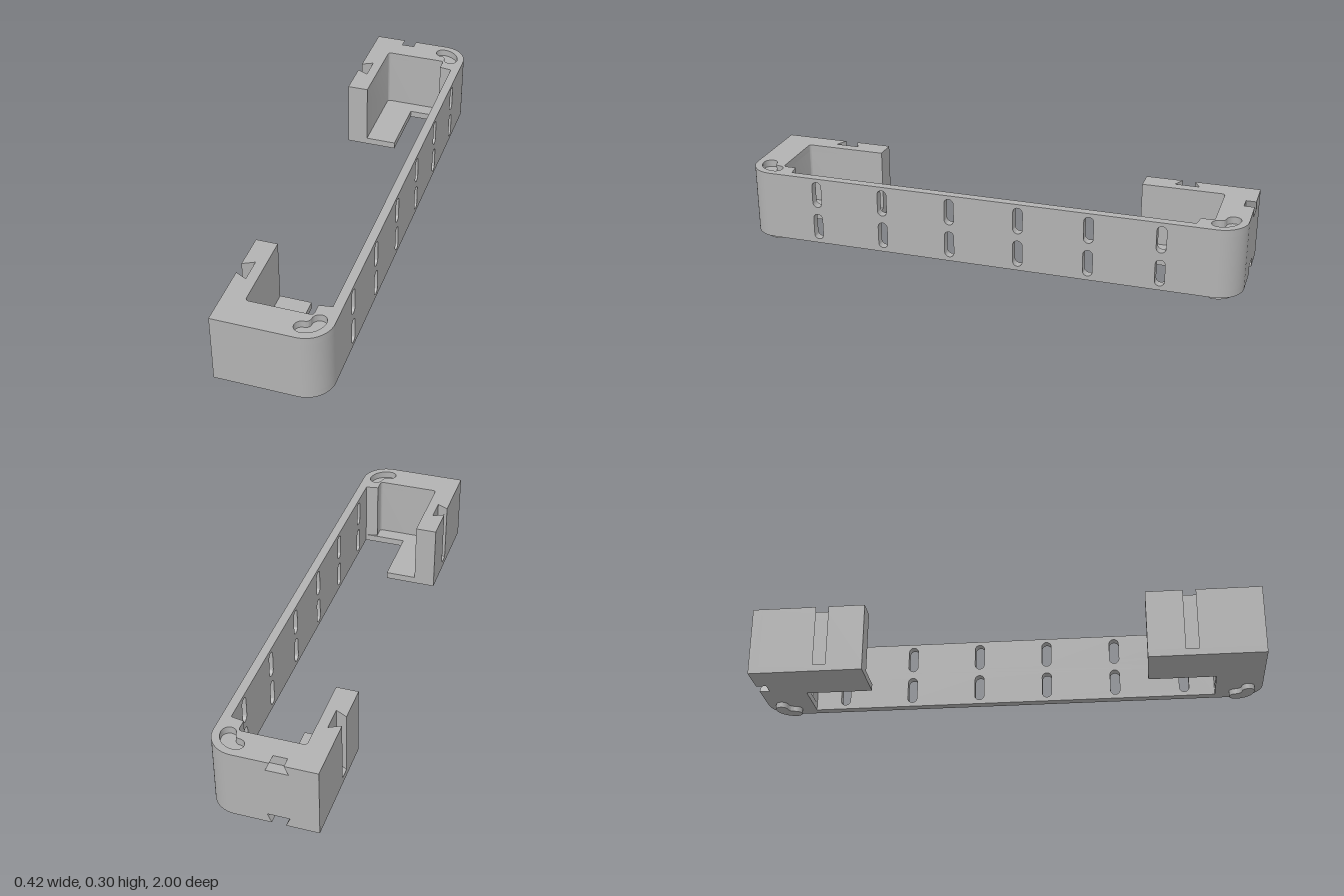
import * as THREE from 'three';
import { toCreasedNormals } from 'three/addons/utils/BufferGeometryUtils.js';

const BASE = 0.022, FLOOR = 0.05, RECESS = 0.272, TOP = 0.3;
const X = 0.21, INNER = 0.175, R = 0.105, JOIN = 0.815;

// points along an arc, angles in degrees
function arc(cx, cy, r, a0, a1, n = 16) {
  return Array.from({ length: n + 1 }, (_, i) => {
    const a = THREE.MathUtils.degToRad(a0 + (a1 - a0) * i / n);
    return [cx + r * Math.cos(a), cy + r * Math.sin(a)];
  });
}
const vectors = (pts) => pts.map(([a, b]) => new THREE.Vector2(a, b));

function extrude(pts, depth, holes = []) {
  const shape = new THREE.Shape(vectors(pts));
  holes.forEach((h) => shape.holes.push(new THREE.Path(vectors(h))));
  return new THREE.ExtrudeGeometry(shape, { depth, bevelEnabled: false });
}

// bean-shaped outline that follows the rounded corner
function bean(w) {
  const cx = X - R, cz = 1 - R, r = 0.048;
  return [
    ...arc(cx, cz, r + w, 0, 90),
    ...arc(cx, cz + r, w, 90, 270, 10).slice(1),
    ...arc(cx, cz, r - w, 90, 0).slice(1),
    ...arc(cx + r, cz, w, -180, 0, 10).slice(1, -1),
  ];
}

export function createModel() {
  const model = new THREE.Group();
  model.name = 'bracket';
  const grey = new THREE.MeshStandardMaterial({ color: 0xb2b2b2 });
  grey.name = 'grey';

  function add(parent, name, geometry) {
    const mesh = new THREE.Mesh(toCreasedNormals(geometry, 0.5), grey);
    mesh.name = name;
    parent.add(mesh);
  }

  for (const s of [1, -1]) {
    const end = new THREE.Group();
    end.name = s > 0 ? 'frontEnd' : 'backEnd';
    model.add(end);

    // horizontal slab from an (x, z) outline
    const slab = (name, pts, y0, y1, holes = []) => {
      const flip = (list) => list.map(([x, z]) => [x, -s * z]);
      const g = extrude(flip(pts), y1 - y0, holes.map(flip));
      add(end, name, g.rotateX(-Math.PI / 2).translate(0, y0, 0));
    };

    // the back end leaves room for its notched end plate
    const cap = s > 0 ? [[-X, 1]] : [[-X, 0.96], [0, 0.96], [0, 1]];
    const outer = [...cap, ...arc(X - R, 1 - R, R, 90, 0), [X, JOIN]];
    const dovetail = [[-X, 0.695], [-0.165, 0.672], [-0.165, 0.768], [-X, 0.745]];
    const walls = [
      [-X, 0.55], ...dovetail, ...outer, [INNER, JOIN], [0.125, 0.823],
      ...arc(0.113, 0.863, 0.012, 0, 90, 5), ...arc(-0.113, 0.863, 0.012, 90, 180, 5),
      [-0.125, 0.55],
    ];

    slab('floor', [[-X, 0.55], ...outer, [0, JOIN], [0, 0.55]], BASE, FLOOR);
    slab('endWalls', walls, FLOOR, RECESS);
    slab('rim', walls, RECESS, TOP, [bean(0.028)]);
    slab('peg', bean(0.025), 0, BASE);
  }

  // back plate with a dovetail notch in its top and bottom edges
  const nx = -0.06, narrow = 0.026, wide = 0.042, deep = 0.036;
  const plate = [
    [-X, BASE], [nx - narrow, BASE], [nx - wide, BASE + deep],
    [nx + wide, BASE + deep], [nx + narrow, BASE], [0, BASE],
    [0, TOP], [nx + narrow, TOP], [nx + wide, TOP - deep],
    [nx - wide, TOP - deep], [nx - narrow, TOP], [-X, TOP],
  ];
  add(model, 'backPlate', extrude(plate, 0.04).translate(0, 0, -1));

  // long side wall with two rows of rounded slots
  const slots = [];
  for (const z of [-0.695, -0.417, -0.139, 0.139, 0.417, 0.695]) {
    for (const y of [0.093, 0.231]) {
      slots.push([...arc(z, y + 0.035, 0.019, 0, 180), ...arc(z, y - 0.035, 0.019, 180, 360)]);
    }
  }
  const wall = extrude(
    [[-JOIN, BASE], [JOIN, BASE], [JOIN, TOP], [-JOIN, TOP]], X - INNER, slots);
  add(model, 'sideWall', wall.rotateY(Math.PI / 2).translate(INNER, 0, 0));

  return model;
}
